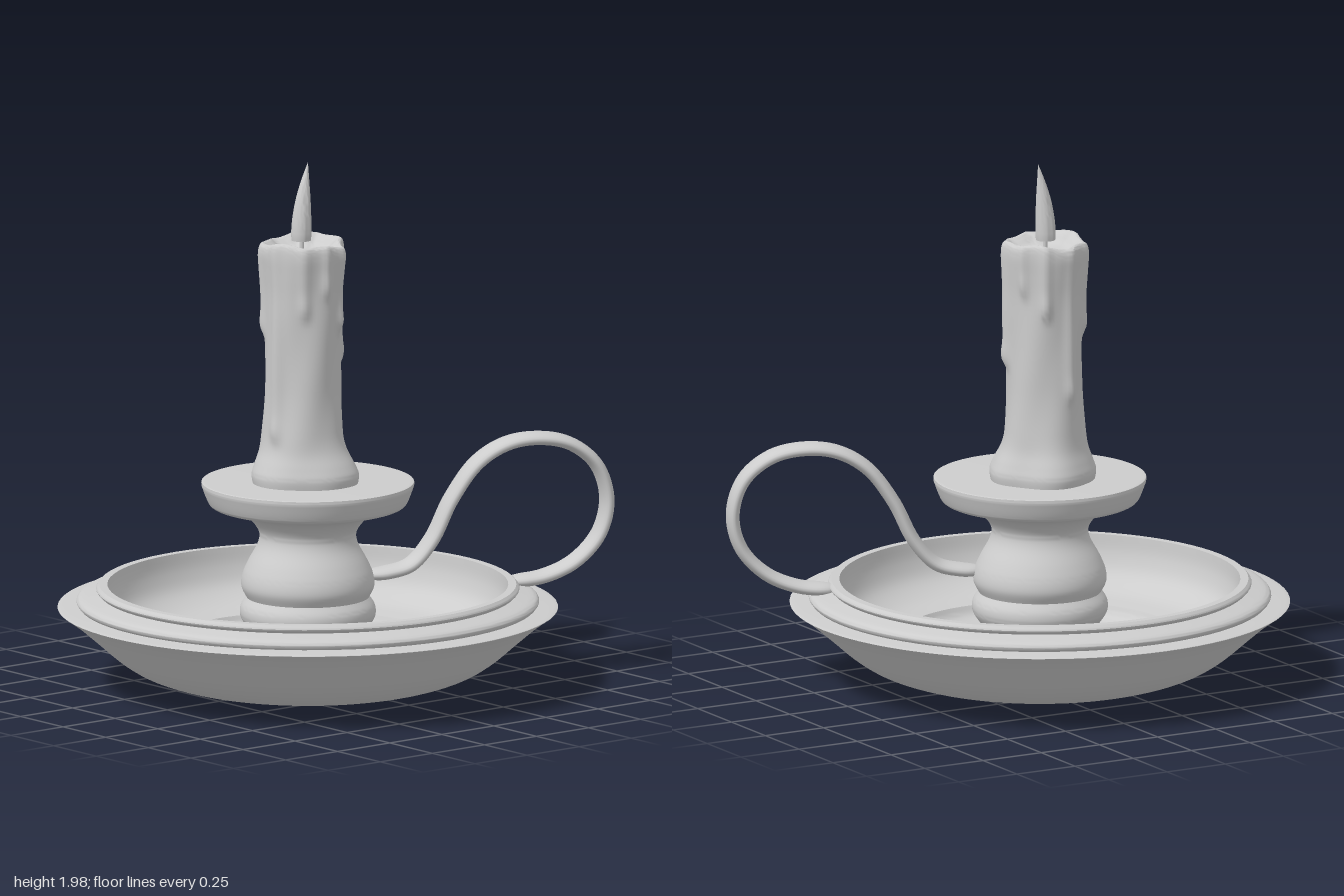
import * as THREE from 'three';
import { toCreasedNormals } from 'three/addons/utils/BufferGeometryUtils.js';

const AXIS_X = -0.075;

// Joins runs of [radius, height] points: each run is smoothed, run ends stay sharp
function profile(...runs) {
  const out = [];
  for (const run of runs) {
    const pts = run.map(([r, y]) => new THREE.Vector2(r, y));
    const list = pts.length > 2 ? new THREE.SplineCurve(pts).getPoints((pts.length - 1) * 5) : pts;
    for (const p of list) {
      p.x = Math.max(p.x, 0);
      if (!out.length || out[out.length - 1].distanceTo(p) > 1e-4) out.push(p);
    }
  }
  return out;
}

// Moves every vertex by a rule
function reshape(geometry, rule) {
  const pos = geometry.attributes.position;
  const v = new THREE.Vector3();
  for (let i = 0; i < pos.count; i++) {
    rule(v.fromBufferAttribute(pos, i));
    pos.setXYZ(i, v.x, v.y, v.z);
  }
  return geometry;
}

// Sweeps a flattened oval along a curve lying in the plane across `side`
function sweepStrap(curve, side, halfWidth, halfThick, steps, sides) {
  const positions = [], index = [];
  for (let i = 0; i <= steps; i++) {
    const t = i / steps;
    const p = curve.getPointAt(t);
    const n = new THREE.Vector3().crossVectors(side, curve.getTangentAt(t)).normalize();
    const end = Math.min(t, 1 - t) / 0.05;
    const taper = end < 1 ? Math.sqrt(Math.max(0, 1 - (1 - end) ** 2)) : 1;
    for (let j = 0; j < sides; j++) {
      const a = (j / sides) * Math.PI * 2;
      const w = Math.cos(a) * halfWidth * taper;
      const h = Math.sin(a) * halfThick * (0.3 + 0.7 * taper);
      const q = p.clone().addScaledVector(side, w).addScaledVector(n, h);
      positions.push(q.x, q.y, q.z);
      if (i < steps) {
        const k = (j + 1) % sides, r = i * sides, s = r + sides;
        index.push(r + j, r + k, s + j, r + k, s + k, s + j);
      }
    }
  }
  const g = new THREE.BufferGeometry();
  g.setAttribute('position', new THREE.Float32BufferAttribute(positions, 3));
  g.setIndex(index);
  g.computeVertexNormals();
  return g;
}

export function createModel() {
  const group = new THREE.Group();
  const grey = new THREE.MeshStandardMaterial({ color: 0xcccccc, side: THREE.DoubleSide });
  grey.name = 'plainGrey';

  const add = (name, geometry, x = 0, z = 0) => {
    const mesh = new THREE.Mesh(geometry, grey);
    mesh.name = name;
    mesh.position.set(x, 0, z);
    group.add(mesh);
  };
  const turned = (pts, crease = 0.6) => toCreasedNormals(new THREE.LatheGeometry(pts, 80), crease);

  // Dish: round belly, flat brim, two stepped mouldings, sunken floor
  add('dish', turned(profile(
    [[0, 0], [0.25, 0.004], [0.45, 0.02], [0.6, 0.06], [0.7, 0.115], [0.8, 0.2], [0.87, 0.26], [0.925, 0.3]],
    [[0.925, 0.3], [0.925, 0.306], [0.85, 0.312]],
    [[0.85, 0.312], [0.86, 0.328], [0.845, 0.344], [0.8, 0.355]],
    [[0.8, 0.355], [0.775, 0.36]],
    [[0.775, 0.36], [0.787, 0.375], [0.775, 0.39]],
    [[0.775, 0.39], [0.745, 0.39]],
    [[0.745, 0.39], [0.735, 0.32], [0.7, 0.25], [0.62, 0.2], [0.515, 0.18]],
    [[0.515, 0.18], [0.49, 0.145], [0.42, 0.12], [0.33, 0.112], [0, 0.11]],
  )), AXIS_X);

  // Stem: flared foot, two bulges, waist and wide drip cup
  add('candleHolder', turned(profile(
    [[0.27, 0.105], [0.24, 0.125], [0.205, 0.165], [0.2, 0.2], [0.225, 0.23]],
    [[0.225, 0.23], [0.25, 0.27], [0.25, 0.31], [0.228, 0.345]],
    [[0.228, 0.345], [0.247, 0.385], [0.243, 0.43], [0.222, 0.48], [0.185, 0.55], [0.185, 0.6], [0.235, 0.655], [0.32, 0.68]],
    [[0.32, 0.68], [0.36, 0.692], [0.376, 0.715], [0.395, 0.765]],
    [[0.395, 0.765], [0.395, 0.78], [0.38, 0.782]],
    [[0.38, 0.782], [0, 0.772]],
  )), AXIS_X);

  // Candle: wax runs as [angle, width, lowest point, thickness]
  const runs = [
    [0.3, 0.16, 1.22, 0.02], [1.0, 0.13, 1.36, 0.02], [1.6, 0.12, 1.5, 0.014],
    [2.2, 0.15, 1.42, 0.014], [3.0, 0.17, 0.95, 0.014], [3.8, 0.14, 1.34, 0.016],
    [4.5, 0.15, 1.1, 0.014], [5.2, 0.13, 1.42, 0.018], [5.8, 0.12, 1.5, 0.014],
  ];
  const wax = profile(
    [[0, 0.77], [0.185, 0.77]],
    [[0.185, 0.77], [0.19, 0.81], [0.178, 0.85], [0.158, 0.91], [0.148, 1.0], [0.142, 1.1], [0.141, 1.2], [0.141, 1.3],
      [0.142, 1.4], [0.143, 1.5], [0.148, 1.58], [0.152, 1.64], [0.148, 1.675], [0.135, 1.688], [0.115, 1.675],
      [0.08, 1.65], [0, 1.64]],
  );
  const candle = reshape(new THREE.LatheGeometry(wax, 80), (v) => {
    const r = Math.hypot(v.x, v.z);
    if (r < 0.01) return;
    const a = Math.atan2(v.z, v.x);
    const gap = (b) => Math.atan2(Math.sin(a - b), Math.cos(a - b));
    const bump = (b, w) => Math.exp(-((gap(b) / w) ** 2));
    let push = 0.003 * Math.sin(5 * a + 9 * v.y);
    for (const [b, w, low, thick] of runs) {
      const fade = THREE.MathUtils.smoothstep(v.y, low - 0.03, low + 0.03);
      const bead = 0.5 * Math.exp(-(((v.y - low - 0.04) / 0.04) ** 2));
      push += bump(b, w) * thick * (fade + bead) * 0.8;
    }
    // Pooled wax around the foot, thickest at the front left
    const foot = 1 - THREE.MathUtils.smoothstep(v.y, 0.8, 0.97);
    push += foot * (0.035 * bump(0.95, 0.45) + 0.008 * Math.sin(4 * a + 1));
    const k = 1 + (push * Math.min(1, r / 0.13)) / r;
    v.x *= k;
    v.z *= k;
    // Uneven melted rim
    const top = THREE.MathUtils.smoothstep(v.y, 1.6, 1.68) * Math.min(1, r / 0.12);
    v.y += top * (0.008 * Math.sin(2 * a + 2.6) + 0.005 * Math.sin(5 * a));
  });
  add('candle', toCreasedNormals(candle, 1.2), -0.08, -0.025);

  // Wick
  const wick = new THREE.CylinderGeometry(0.008, 0.01, 0.08, 10);
  wick.translate(0, 1.665, 0);
  add('wick', wick, -0.08, -0.03);

  // Flame leaning to one side
  const flame = reshape(new THREE.LatheGeometry(profile(
    [[0, 1.69], [0.036, 1.69]],
    [[0.036, 1.69], [0.038, 1.72], [0.035, 1.78], [0.027, 1.85], [0.014, 1.92], [0, 1.982]],
  ), 32), (v) => {
    const t = (v.y - 1.69) / 0.29;
    v.x += 0.032 * t * t;
  });
  add('flame', toCreasedNormals(flame, 0.8), -0.082, -0.03);

  // Handle: strap looping from the stem out over the rim
  const slope = 0.43;
  const path = [
    [0.1, 0.42], [0.18, 0.425], [0.265, 0.45], [0.34, 0.54], [0.41, 0.69], [0.5, 0.82], [0.6, 0.885], [0.71, 0.902],
    [0.83, 0.875], [0.925, 0.79], [0.963, 0.66], [0.935, 0.53], [0.85, 0.43], [0.74, 0.378], [0.6, 0.362],
  ].map(([x, y]) => new THREE.Vector3(x, y, 0.11 + (x - 0.09) * slope));
  const side = new THREE.Vector3(-slope, 0, 1).normalize();
  add('handle', sweepStrap(new THREE.CatmullRomCurve3(path), side, 0.058, 0.025, 120, 20));

  return group;
}
